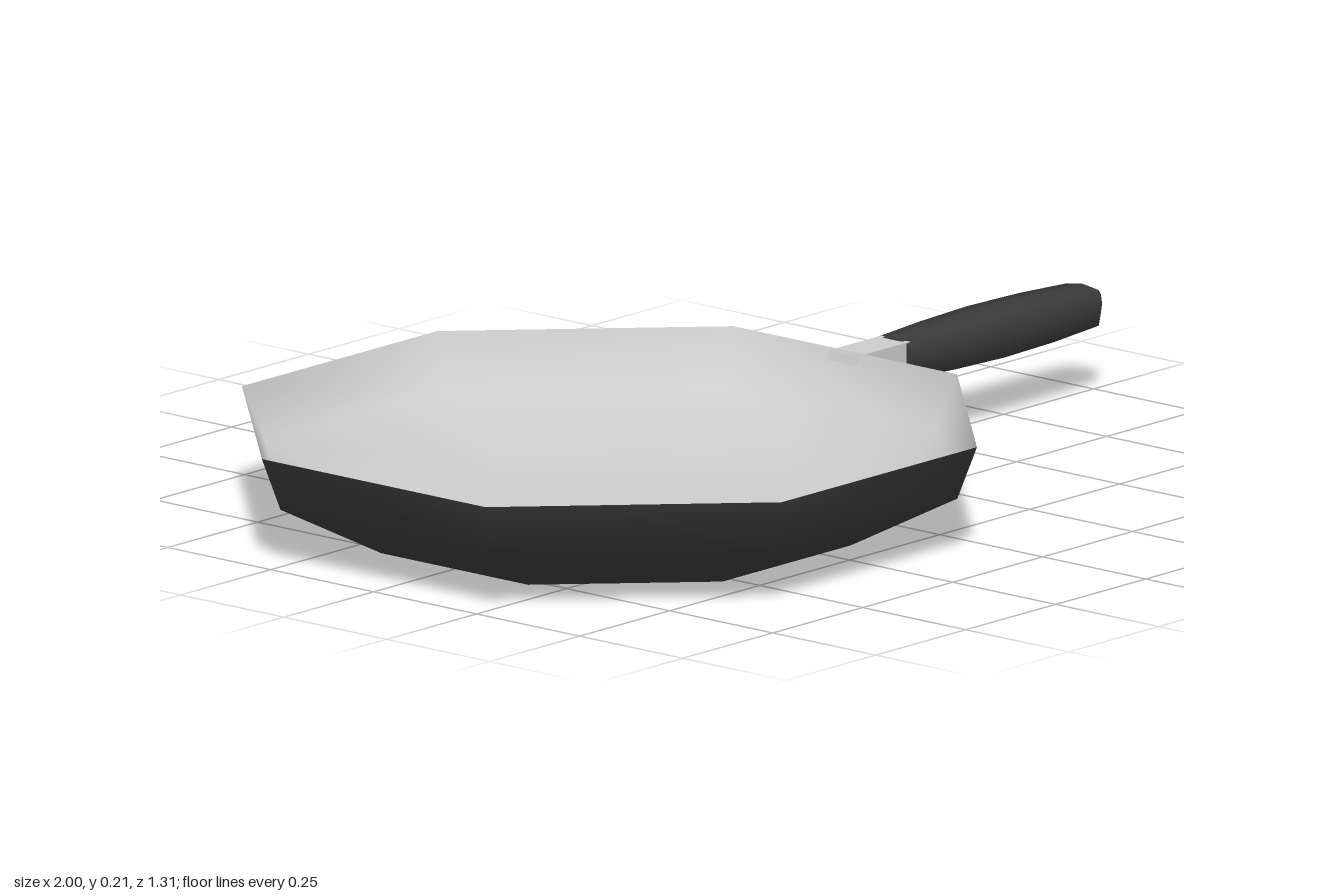
import * as THREE from 'three';

const SIDES = 8;
const PAN_X = -0.345;
const ACROSS = 1 / Math.cos(Math.PI / SIDES); // flat-to-centre -> corner radius

const dark = new THREE.MeshStandardMaterial({ color: 0x3a3a3a });
const grey = new THREE.MeshStandardMaterial({ color: 0xcccccc });

function part(name, geometry, material) {
  const mesh = new THREE.Mesh(geometry, material);
  mesh.name = name;
  return mesh;
}

// Eight-sided shell from [flat radius, height] pairs
function octagonShell(profile) {
  const points = profile.map(([r, y]) => new THREE.Vector2(r * ACROSS, y));
  return new THREE.LatheGeometry(points, SIDES, Math.PI / SIDES);
}

// Tapered grip along x, lofted through rounded-square cross-sections
function gripGeometry() {
  const section = [[1, 0], [0.88, 0.86], [0, 1], [-0.88, 0.86], [-1, 0], [-0.88, -0.86], [0, -1], [0.88, -0.86]];
  const stations = [ // x, half height, half width
    [0.44, 0.038, 0.045], [0.57, 0.044, 0.05], [0.7, 0.047, 0.053],
    [0.84, 0.045, 0.05], [0.97, 0.039, 0.044], [0.997, 0.02, 0.023],
  ];
  const n = section.length;
  const positions = [];
  const index = [];
  for (const [x, h, w] of stations) {
    for (const [z, y] of section) positions.push(x, 0.165 + y * h, z * w);
  }
  for (let s = 0; s < stations.length - 1; s++) {
    for (let i = 0; i < n; i++) {
      const a = s * n + i, b = s * n + (i + 1) % n;
      index.push(a, a + n, b, b, a + n, b + n);
    }
  }
  // Tip fan shares its ring for a soft end
  const last = (stations.length - 1) * n;
  const tip = positions.length / 3;
  positions.push(1, 0.165, 0);
  for (let i = 0; i < n; i++) index.push(last + i, tip, last + (i + 1) % n);
  // Flat cap at the pan end has its own ring
  const cap = tip + 1;
  positions.push(...positions.slice(0, n * 3));
  for (let i = 1; i < n - 1; i++) index.push(cap, cap + i, cap + i + 1);

  const geometry = new THREE.BufferGeometry();
  geometry.setAttribute('position', new THREE.Float32BufferAttribute(positions, 3));
  geometry.setIndex(index);
  geometry.computeVertexNormals();
  return geometry;
}

export function createModel() {
  const model = new THREE.Group();
  model.name = 'fryingPan';

  // Pan body: outer wall, flat base and grey cooking surface
  const pan = new THREE.Group();
  pan.name = 'pan';
  pan.position.x = PAN_X;
  pan.add(part('outerWall', octagonShell([[0.43, 0], [0.62, 0.105], [0.655, 0.205]]), dark));

  const base = part('base', new THREE.CircleGeometry(0.43 * ACROSS, SIDES, Math.PI / SIDES), dark);
  base.rotation.x = Math.PI / 2;
  pan.add(base);

  pan.add(part('cookingSurface', octagonShell([[0.655, 0.205], [0.615, 0.108], [0.428, 0.006], [0, 0.006]]), grey));
  model.add(pan);

  // Metal neck, its inner end slanted to follow the wall
  const neck = new THREE.BoxGeometry(0.16, 0.07, 0.07);
  neck.translate(0.37, 0.165, 0);
  const p = neck.attributes.position;
  for (let i = 0; i < p.count; i++) {
    if (p.getX(i) < 0.37) p.setX(i, p.getY(i) > 0.165 ? 0.307 : 0.282);
  }
  neck.computeVertexNormals();
  model.add(part('neck', neck, grey));

  model.add(part('grip', gripGeometry(), dark));
  return model;
}
